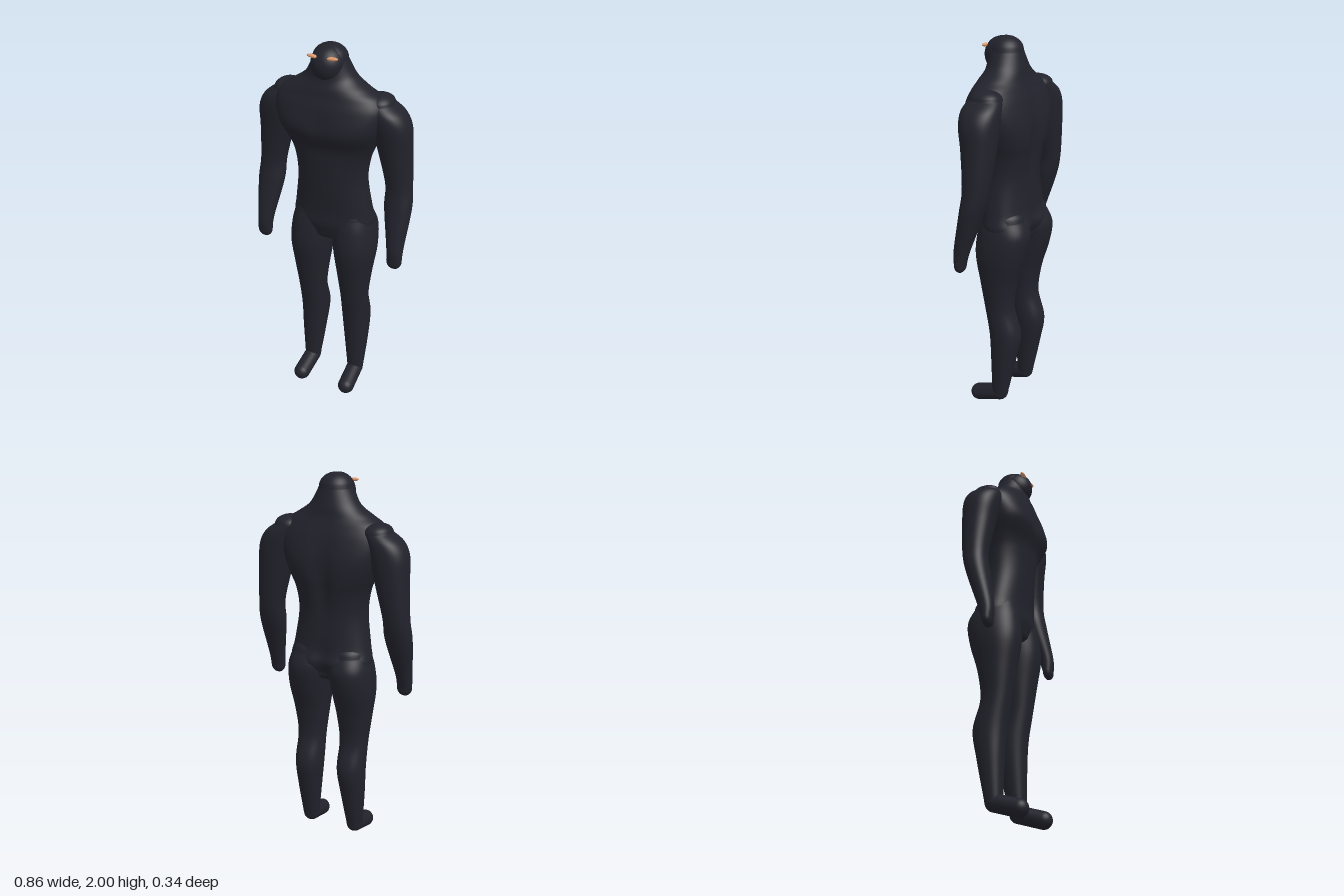
import * as THREE from 'three';

const suit = new THREE.MeshStandardMaterial({ color: 0x22222c });
suit.name = 'dark suit';
const amber = new THREE.MeshStandardMaterial({ color: 0xe09a6c });
amber.name = 'amber eyes';

const bump = (v, centre, width) => Math.exp(-(((v - centre) / width) ** 2));

// Smooth curve through four neighbouring values
const spline = (a, b, c, d, t) =>
  b + 0.5 * t * (c - a + t * (2 * a - 5 * b + 4 * c - d + t * (3 * (b - c) + d - a)));

// Smoothly joined sections from bottom to top, closed by rounded caps.
// Key section: [y, half width, front z, back z, centre x]
function makeSections(keys, bottomCap, topCap) {
  const at = (i) => keys[Math.min(Math.max(i, 0), keys.length - 1)];
  const cap = ([y, w, zf, zb, x = 0], height, t) => {
    const k = Math.sqrt(1 - t * t);
    const zc = (zf + zb) / 2;
    return [y + height * t, w * k, zc + (zf - zc) * k, zc + (zb - zc) * k, x];
  };
  const capSteps = 8;
  const capAt = (i) => Math.sin((i / capSteps) * Math.PI / 2);
  const sections = [];
  for (let i = capSteps; i > 0; i--) sections.push(cap(at(0), -bottomCap, capAt(i)));
  for (let i = 0; i < keys.length - 1; i++) {
    for (let s = 0; s < 8; s++) {
      sections.push(keys[i].map((v, k) =>
        spline(at(i - 1)[k], v, at(i + 1)[k], at(i + 2)[k], s / 8)));
    }
  }
  for (let i = 0; i <= capSteps; i++) sections.push(cap(at(keys.length - 1), topCap, capAt(i)));
  return sections;
}

// Closed body around the sections; squareness and groove are rules of height
function loft(sections, side, squareness, groove, segments = 48) {
  const positions = [];
  const index = [];
  sections.forEach(([y, w, zf, zb, xc = 0], i) => {
    const power = 2 / squareness(y);
    for (let j = 0; j < segments; j++) {
      const a = (j / segments) * Math.PI * 2;
      const c = Math.cos(a);
      const s = Math.sin(a);
      const x = w * Math.sign(c) * Math.abs(c) ** power;
      const z = (zf + zb) / 2 + ((zf - zb) / 2) * Math.sign(s) * Math.abs(s) ** power;
      positions.push(side * xc + x, y, z - s * groove(y, s) * bump(x, 0, 0.045));
      if (i < sections.length - 1) {
        const p = i * segments + j;
        const q = i * segments + ((j + 1) % segments);
        index.push(p, p + segments, q, q, p + segments, q + segments);
      }
    }
  });
  const geometry = new THREE.BufferGeometry();
  geometry.setAttribute('position', new THREE.Float32BufferAttribute(positions, 3));
  geometry.setIndex(index);
  geometry.computeVertexNormals();
  return geometry;
}

const torsoKeys = [
  [1.0, 0.19, 0.09, -0.14],
  [1.06, 0.22, 0.105, -0.163],
  [1.14, 0.207, 0.105, -0.138],
  [1.3, 0.185, 0.12, -0.13],
  [1.42, 0.197, 0.13, -0.143],
  [1.5, 0.225, 0.138, -0.155],
  [1.6, 0.265, 0.174, -0.153],
  [1.7, 0.29, 0.157, -0.13],
  [1.76, 0.262, 0.138, -0.108],
  [1.8, 0.2, 0.128, -0.094],
  [1.85, 0.13, 0.112, -0.084],
  [1.93, 0.086, 0.11, -0.062],
];

const armKeys = [
  [0.92, 0.04, 0.088, 0.035, 0.375],
  [1.0, 0.044, 0.09, 0.01, 0.373],
  [1.2, 0.07, 0.056, -0.06, 0.36],
  [1.32, 0.068, 0.042, -0.088, 0.352],
  [1.5, 0.085, 0.06, -0.106, 0.325],
  [1.62, 0.097, 0.08, -0.112, 0.307],
  [1.69, 0.09, 0.083, -0.108, 0.282],
  [1.735, 0.072, 0.068, -0.093, 0.242],
];

const legKeys = [
  [0.1, 0.045, 0.025, -0.062, 0.135],
  [0.3, 0.065, 0.03, -0.105, 0.13],
  [0.45, 0.075, 0.04, -0.13, 0.125],
  [0.6, 0.075, 0.065, -0.09, 0.125],
  [0.75, 0.092, 0.09, -0.106, 0.125],
  [0.9, 0.111, 0.115, -0.15, 0.124],
  [1.02, 0.113, 0.108, -0.171, 0.115],
  [1.1, 0.105, 0.09, -0.14, 0.1],
];

// Broad chest, with a line between the chest muscles and one down the spine
const torsoSquareness = (y) => 2 + 0.3 * bump(y, 1.1, 0.3) + 0.7 * bump(y, 1.6, 0.13);
const torsoGroove = (y, s) => (s > 0
  ? 0.01 * bump(y, 1.63, 0.06)
  : 0.025 * bump(y, 1.04, 0.1) + 0.025 * bump(y, 1.5, 0.18));
const limbSquareness = () => 2.2;
const noGroove = () => 0;

export function createModel() {
  const model = new THREE.Group();
  model.name = 'figure';
  const add = (name, geometry, material) => {
    const mesh = new THREE.Mesh(geometry, material);
    mesh.name = name;
    model.add(mesh);
    return mesh;
  };

  // Torso with neck and skull, and a rounded face with a jaw
  add('torso', loft(makeSections(torsoKeys, 0.06, 0.07), 1, torsoSquareness, torsoGroove, 72), suit);
  const face = add('face', new THREE.SphereGeometry(1, 40, 28), suit);
  face.scale.set(0.085, 0.09, 0.09);
  face.position.set(0, 1.907, 0.045);

  for (const [label, side] of [['left', 1], ['right', -1]]) {
    const arm = makeSections(armKeys, 0.043, 0.045);
    const leg = makeSections(legKeys, 0.05, 0.07);
    add(`${label}Arm`, loft(arm, side, limbSquareness, noGroove), suit);
    add(`${label}Leg`, loft(leg, side, limbSquareness, noGroove), suit);

    // Foot slopes from the ankle down to the toes
    const heel = new THREE.Vector3(side * 0.135, 0.085, -0.015);
    const toe = new THREE.Vector3(side * 0.14, 0.045, 0.118);
    const foot = add(`${label}Foot`,
      new THREE.CapsuleGeometry(0.045, heel.distanceTo(toe), 10, 28), suit);
    foot.position.copy(heel).add(toe).multiplyScalar(0.5);
    foot.quaternion.setFromUnitVectors(new THREE.Vector3(0, 1, 0), toe.sub(heel).normalize());

    // Narrow slanted eye
    const eye = add(`${label}Eye`, new THREE.SphereGeometry(1, 20, 12), amber);
    eye.scale.set(0.029, 0.009, 0.011);
    eye.position.set(side * 0.051, 1.954, 0.111);
    eye.rotation.z = side * 0.08;
  }
  return model;
}
